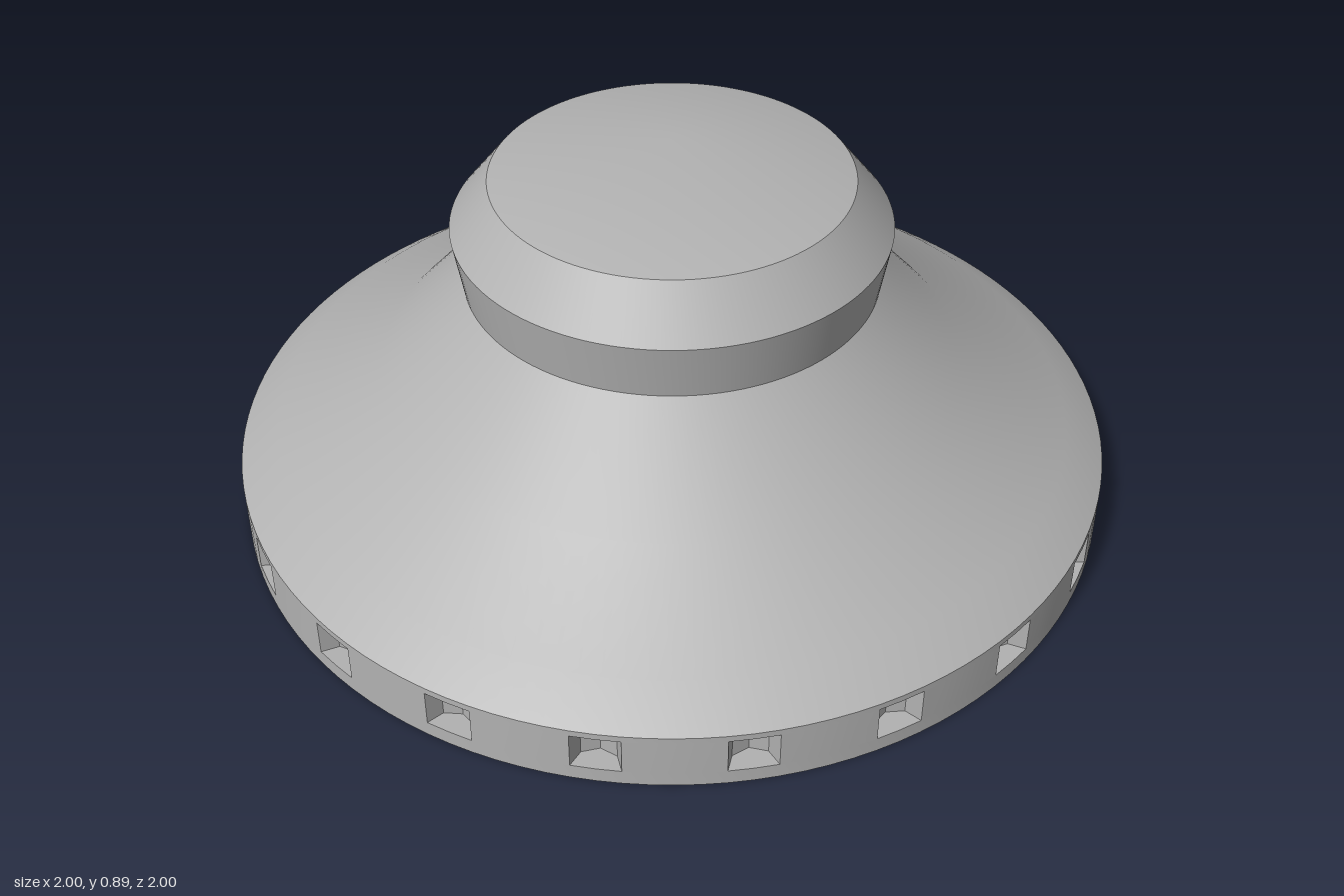
import * as THREE from 'three';
import { toCreasedNormals } from 'three/addons/utils/BufferGeometryUtils.js';

const SEGMENTS = 120;
const POCKETS = 20;
const POCKET_BOTTOM = 0.035;
const POCKET_TOP = 0.12;
const CREASE = Math.PI / 6;

// Surface of revolution with sharp edges at strong bends
function lathe(points) {
  const profile = points.map(([r, y]) => new THREE.Vector2(r, y));
  return toCreasedNormals(new THREE.LatheGeometry(profile, SEGMENTS), CREASE);
}

// Plan of the rim wall: arcs interrupted by half-octagon pockets
function rimPlan() {
  const plan = [];
  const step = (Math.PI * 2) / SEGMENTS;
  const perPocket = SEGMENTS / POCKETS;
  const r = Math.sin(step);
  for (let i = 0; i < POCKETS; i++) {
    const a = i * perPocket * step;
    const radial = [Math.sin(a), Math.cos(a)];
    const side = [Math.cos(a), -Math.sin(a)];
    for (const k of [-2, -1, 0, 1, 2]) {
      const t = (k * Math.PI) / 4;
      const out = Math.cos(step) - r * Math.cos(t);
      const across = r * Math.sin(t);
      plan.push([radial[0] * out + side[0] * across, radial[1] * out + side[1] * across]);
    }
    for (let j = 2; j < perPocket - 1; j++) {
      plan.push([Math.sin(a + j * step), Math.cos(a + j * step)]);
    }
  }
  return plan;
}

// Vertical wall following a closed plan
function wall(plan, y0, y1) {
  const positions = [];
  plan.forEach(([x, z], i) => {
    const [x2, z2] = plan[(i + 1) % plan.length];
    positions.push(x, y0, z, x2, y0, z2, x2, y1, z2);
    positions.push(x, y0, z, x2, y1, z2, x, y1, z);
  });
  const geometry = new THREE.BufferGeometry();
  geometry.setAttribute('position', new THREE.Float32BufferAttribute(positions, 3));
  return toCreasedNormals(geometry, CREASE);
}

export function createModel() {
  const group = new THREE.Group();
  const grey = new THREE.MeshStandardMaterial({ color: 0xb2b2b2 });
  const add = (name, geometry) => {
    const mesh = new THREE.Mesh(geometry, grey);
    mesh.name = name;
    group.add(mesh);
  };

  // Underside with central bore, up to the pocket floors
  add('baseWithBore', lathe([
    [0, 0.5], [0.12, 0.5], [0.12, 0], [1, 0], [1, POCKET_BOTTOM], [0.93, POCKET_BOTTOM],
  ]));

  // Rim wall with the ring of pockets
  add('pocketedRim', wall(rimPlan(), POCKET_BOTTOM, POCKET_TOP));

  // Pocket ceilings, flared body, neck and shallow conical cap
  add('bodyAndCap', lathe([
    [0.93, POCKET_TOP], [1, POCKET_TOP], [1, 0.135], [0.91, 0.2], [0.665, 0.335],
    [0.465, 0.557], [0.487, 0.69], [0.4, 0.8], [0, 0.89],
  ]));

  return group;
}
